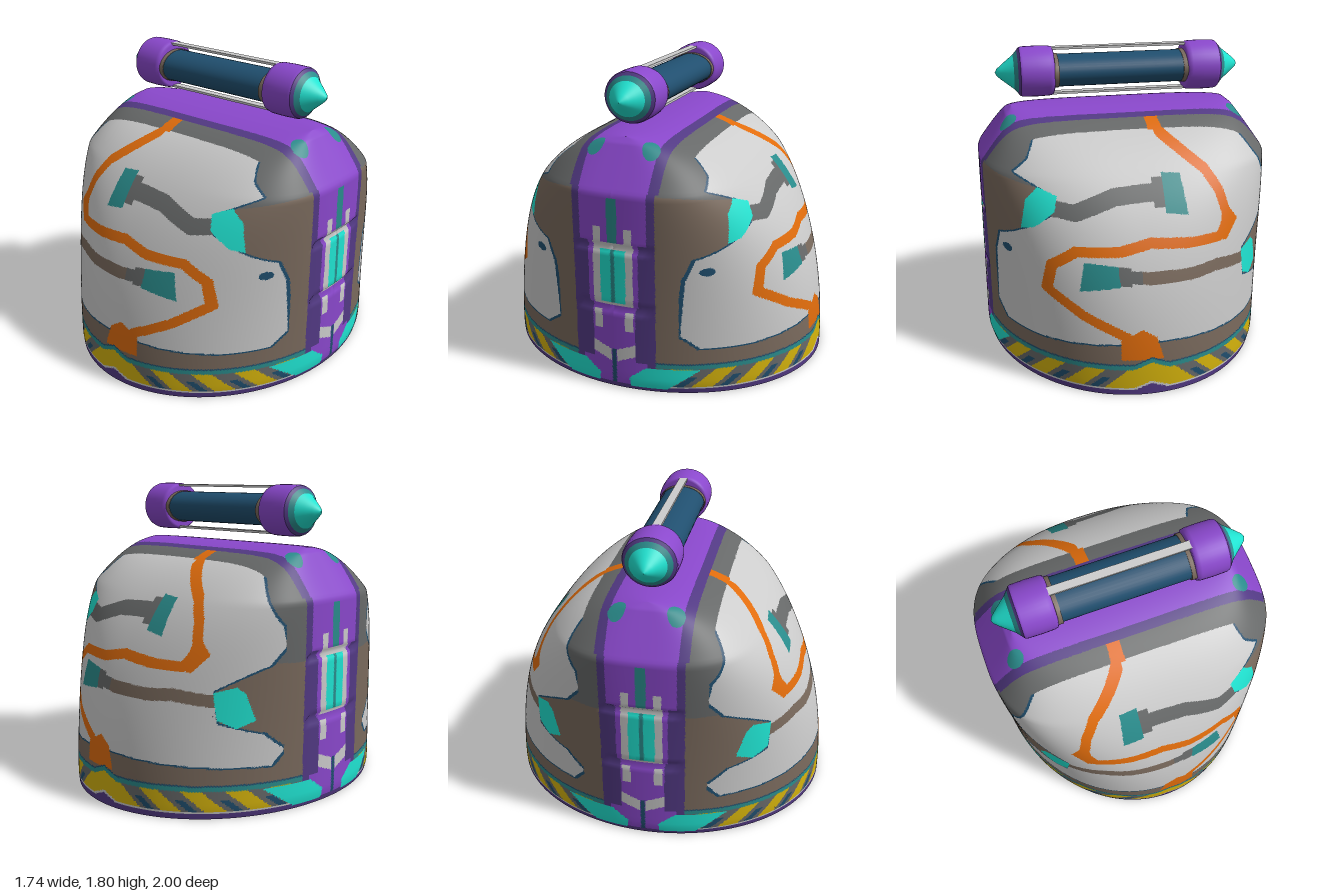
import * as THREE from 'three';

const mat = (name, color) => new THREE.MeshStandardMaterial({ name, color, side: THREE.DoubleSide });
const M = {
  white: mat('pale grey', 0xcccccc), purple: mat('purple', 0x8a48cc), plum: mat('dark purple', 0x533a85),
  brown: mat('brown', 0x7a6a5d), grey: mat('grey', 0x676969), orange: mat('orange', 0xe06c0c),
  cyan: mat('cyan', 0x20e4d2), teal: mat('teal', 0x2a8c8c), navy: mat('navy', 0x204f6f), yellow: mat('yellow', 0xd6b40c),
};

// Painted outlines and pipe paths, as x, y pairs seen from the front
const PANEL = [-.57, 1.41, -.5, 1.45, .44, 1.45, .55, 1.37, .61, 1.26, .69, 1.2, .48, 1.1, .47, 1.02, .65, .91, .78, .83,
  .8, .71, .805, .37, .76, .29, .63, .29, .29, .31, .03, .33, -.28, .315, -.78, .285, -.81, .37, -.76, .47, -.61, .54,
  -.59, .72, -.78, .85, -.82, .95, -.81, 1.06, -.76, 1.17, -.68, 1.28];
const ORANGE = [-.14, 1.45, -.16, 1.36, -.38, 1.19, -.45, 1.08, -.5, .9, -.43, .84, -.25, .84, -.02, .86, .15, .825,
  .39, .825, .52, .74, .55, .6, .36, .47, .14, .36, .08, .25];
const BLOB = [-.03, .35, -.07, .22, .17, .22, .17, .34, .05, .4];
const BEND = [-.47, 1.03, -.56, .91, -.48, .81, -.4, .83, -.45, .92];
const CYANS = [[.47, 1.1, .57, 1.14, .64, 1.07, .67, .91, .6, .93, .49, 1.02],
  [-.68, .74, -.59, .71, -.61, .56, -.68, .51, -.74, .55, -.71, .7]];
const TEALS = [[-.23, 1.18, -.12, 1.19, -.12, 1, -.25, .98], [.17, .75, .35, .77, .38, .61, .16, .64]];
const UPPER_PIPE = [-.12, 1.1, 0, 1.1, .16, 1.09, .38, 1.02, .5, 1.04];
const LOWER_PIPE = [-.62, .66, -.4, .69, -.25, .675, 0, .68, .18, .7];
const CORNER = [.49, .155, .19, .155, .09, .08, .1, .02, .3, .02]; // z, y on the sides

function inside(p, x, y) {
  let hit = false;
  for (let i = 0, j = p.length - 2; i < p.length; j = i, i += 2)
    if ((p[i + 1] > y) !== (p[j + 1] > y) &&
      x < (p[j] - p[i]) * (y - p[i + 1]) / (p[j + 1] - p[i + 1]) + p[i]) hit = !hit;
  return hit;
}

function distance(p, x, y, closed = false) {
  let best = 9;
  for (let i = closed ? 0 : 2; i < p.length; i += 2) {
    const j = (i + p.length - 2) % p.length, dx = p[i] - p[j], dy = p[i + 1] - p[j + 1];
    const t = THREE.MathUtils.clamp(((x - p[j]) * dx + (y - p[j + 1]) * dy) / (dx * dx + dy * dy), 0, 1);
    best = Math.min(best, Math.hypot(x - p[j] - t * dx, y - p[j + 1] - t * dy));
  }
  return best;
}

// Belt running over the top and down both sides
function beltColour(x, y, z) {
  if (Math.hypot(Math.abs(x) - .69, z - .165) < .05 && y > 1.3) return 'teal';
  if (y > 1.2) return z < .205 ? 'purple' : 'plum';
  if (y > .9) return z < .03 && y < 1.16 ? 'teal' : z > .07 && z < .115 && y < .99 ? 'white' : z < .2 ? 'purple' : 'plum';
  if (y > .52) {
    if (z < .076 && y > .54 && y < .86) return z < .012 ? 'teal' : 'cyan';
    return z < .12 ? 'white' : z < .15 ? 'purple' : 'plum';
  }
  if (y > .37 && y < .49 && z > .07 && z < .12) return 'white';
  const chevron = y - .4 * z;
  if (chevron > .165 && chevron < .24 && z > .02 && z < .13) return 'white';
  if (z < .012 && y < .25) return 'navy';
  return z < .13 || (y < .18 && z < .2) ? 'purple' : 'plum';
}

// Hazard strip and trim along the rim
function rimColour(x, y) {
  const h = y - Math.max(0, .04 - .4 * Math.abs(x));
  if (h < .03) return 'plum';
  if (h < .045) return 'white';
  if (h > .185) return 'navy';
  if (h > .16) return 'teal';
  const a = Math.asin(Math.min(1, Math.abs(x) / .87));
  if (a < .17 - 1.3 * (h - .1)) return 'yellow';
  const s = (a - .44 + 1.3 * (h - .1)) / .27;
  const d = Math.abs(s - Math.round(s));
  return d < .24 ? 'yellow' : d > .4 && h < .11 ? 'navy' : 'grey';
}

// Returns part and colour for a point on the shell; both faces share the design
function paint([x, y, zz]) {
  const z = Math.abs(zz);
  if (inside(CORNER, z, y)) return 'sideCorner cyan';
  if (z < (y > 1.2 ? .262 : .245) && y > .03) return 'belt ' + beltColour(x, y, z);
  if (y < .193 + Math.max(0, .04 - .4 * Math.abs(x))) return 'rim ' + rimColour(x, y);
  if (z < .38 && y > 1.2 && Math.abs(x + .14) < .04) return 'cable orange';
  if (inside(BLOB, x, y) || inside(BEND, x, y) || distance(ORANGE, x, y) < .028) return 'cable orange';
  if (CYANS.some(p => inside(p, x, y))) return 'clamp cyan';
  if (TEALS.some(p => inside(p, x, y))) return 'socket teal';
  if (distance(UPPER_PIPE, x, y) < (x < -.06 ? .07 : .042)) return 'upperPipe grey';
  if (distance(LOWER_PIPE, x, y) < (x > .1 ? .05 : .034)) return x > .04 ? 'lowerPipe grey' : 'lowerPipe brown';
  if (Math.hypot(x - .745, y - .76) < .024) return 'bolt navy';
  if (z > .37 && inside(PANEL, x, y)) return 'panel white';
  if (z > .37 && distance(PANEL, x, y, true) < .009) return 'panelEdge navy';
  return y > 1.02 + .2 * x ? 'frame grey' : 'frame brown';
}

// Open dome: oval rings that become boxier towards the ridge
function buildShell() {
  const group = new THREE.Group();
  group.name = 'shell';
  const N = 180, ROWS = 72, H = 1.45, P = 2 / 2.18, pos = [], index = [];
  const halfWidth = y => y < .05 ? .855 + .3 * y : y < 1.18 ? .87 : y < 1.42
    ? THREE.MathUtils.mapLinear(y, 1.18, 1.42, .87, .7) : THREE.MathUtils.mapLinear(y, 1.42, 1.45, .7, .66);
  for (let j = 0; j <= ROWS; j++) {
    const t = j / ROWS * Math.PI / 2;
    const y = H * Math.sin(t) ** P, Z = j === ROWS ? 0 : Math.cos(t) ** P;
    const n = 2 + 1.9 * (y / H) ** 3;
    const groove = Math.min(Math.abs(y - .88), Math.abs(y - .515)) < .0145 ? .02 : 0;
    for (let i = 0; i <= N; i++) {
      const a = i / N * Math.PI * 2, c = Math.cos(a), s = Math.sin(a);
      const k = (Math.abs(c) ** n + Math.abs(s) ** n) ** (-1 / n);
      const z = Z * s * k;
      pos.push((halfWidth(y) - (Math.abs(z) < .22 ? groove : 0)) * c * k, y, z);
      if (i < N && j < ROWS) {
        const q = j * (N + 1) + i, r = q + N + 1;
        index.push(q, r, q + 1, q + 1, r, r + 1);
      }
    }
  }
  const whole = new THREE.BufferGeometry();
  whole.setAttribute('position', new THREE.Float32BufferAttribute(pos, 3));
  whole.setIndex(index);
  whole.computeVertexNormals();
  const normals = whole.attributes.normal.array;

  // Split faces that cross a paint edge, then sort them by part and colour
  const parts = new Map();
  const blend = (...vs) => vs[0].map((_, k) => vs.reduce((sum, v) => sum + v[k], 0) / vs.length);
  const sortFace = (a, b, c, depth) => {
    const ab = blend(a, b), bc = blend(b, c), ca = blend(c, a), key = paint(blend(a, b, c));
    if (depth > 0 && [a, b, c, ab, bc, ca].some(v => paint(v) !== key)) {
      for (const f of [[a, ab, ca], [ab, b, bc], [ca, bc, c], [ab, bc, ca]]) sortFace(...f, depth - 1);
      return;
    }
    if (!parts.has(key)) parts.set(key, { position: [], normal: [] });
    for (const v of [a, b, c]) {
      parts.get(key).position.push(...v.slice(0, 3));
      parts.get(key).normal.push(...v.slice(3));
    }
  };
  const vertex = i => [...pos.slice(i * 3, i * 3 + 3), ...normals.slice(i * 3, i * 3 + 3)];
  for (let f = 0; f < index.length; f += 3)
    sortFace(vertex(index[f]), vertex(index[f + 1]), vertex(index[f + 2]), 2);
  for (const [key, data] of parts) {
    const geo = new THREE.BufferGeometry();
    for (const name in data) geo.setAttribute(name, new THREE.Float32BufferAttribute(data[name], 3));
    const mesh = new THREE.Mesh(geo, M[key.split(' ')[1]]);
    mesh.name = key;
    group.add(mesh);
  }
  return group;
}

// Floating handle above the ridge
function buildHandle() {
  const group = new THREE.Group();
  group.name = 'handle';
  group.position.y = 1.653;
  const add = (parent, name, geo, material) => {
    const mesh = new THREE.Mesh(geo, material);
    mesh.name = name;
    parent.add(mesh);
    return mesh;
  };
  const grip = add(group, 'grip', new THREE.CylinderGeometry(.095, .095, .8, 40), M.navy);
  grip.rotation.z = Math.PI / 2;
  grip.scale.z = 1.42;
  for (const s of [1, -1]) {
    add(group, 'rod', new THREE.BoxGeometry(.82, .014, .05), M.white).position.y = s * .135;
    const end = new THREE.Group();
    end.name = 'handleEnd';
    end.rotation.z = -s * Math.PI / 2;
    end.scale.z = 1.06;
    group.add(end);
    // Rings from the inner collar to the tip, as radius, distance pairs
    const ring = (name, m, pts) => add(end, name,
      new THREE.LatheGeometry(pts.map(p => new THREE.Vector2(...p)), 40), m);
    const collar = ring('collar', M.brown, [[.096, .375], [.1, .375], [.1, .41]]);
    collar.scale.z = 1.36;
    ring('cap', M.purple, [[0, .4], [.13, .4], [.143, .408], [.148, .43], [.15, .5], [.148, .585], [.143, .6]]);
    ring('capEdge', M.plum, [[.143, .6], [.126, .614]]);
    ring('coneBase', M.teal, [[.126, .614], [.108, .63], [.1, .637]]);
    ring('coneTip', M.cyan, [[.1, .637], [.07, .675], [.042, .71], [.02, .735], [0, .745]]);
  }
  return group;
}

export function createModel() {
  const model = new THREE.Group();
  model.name = 'domeWithHandle';
  model.add(buildShell(), buildHandle());
  return model;
}
